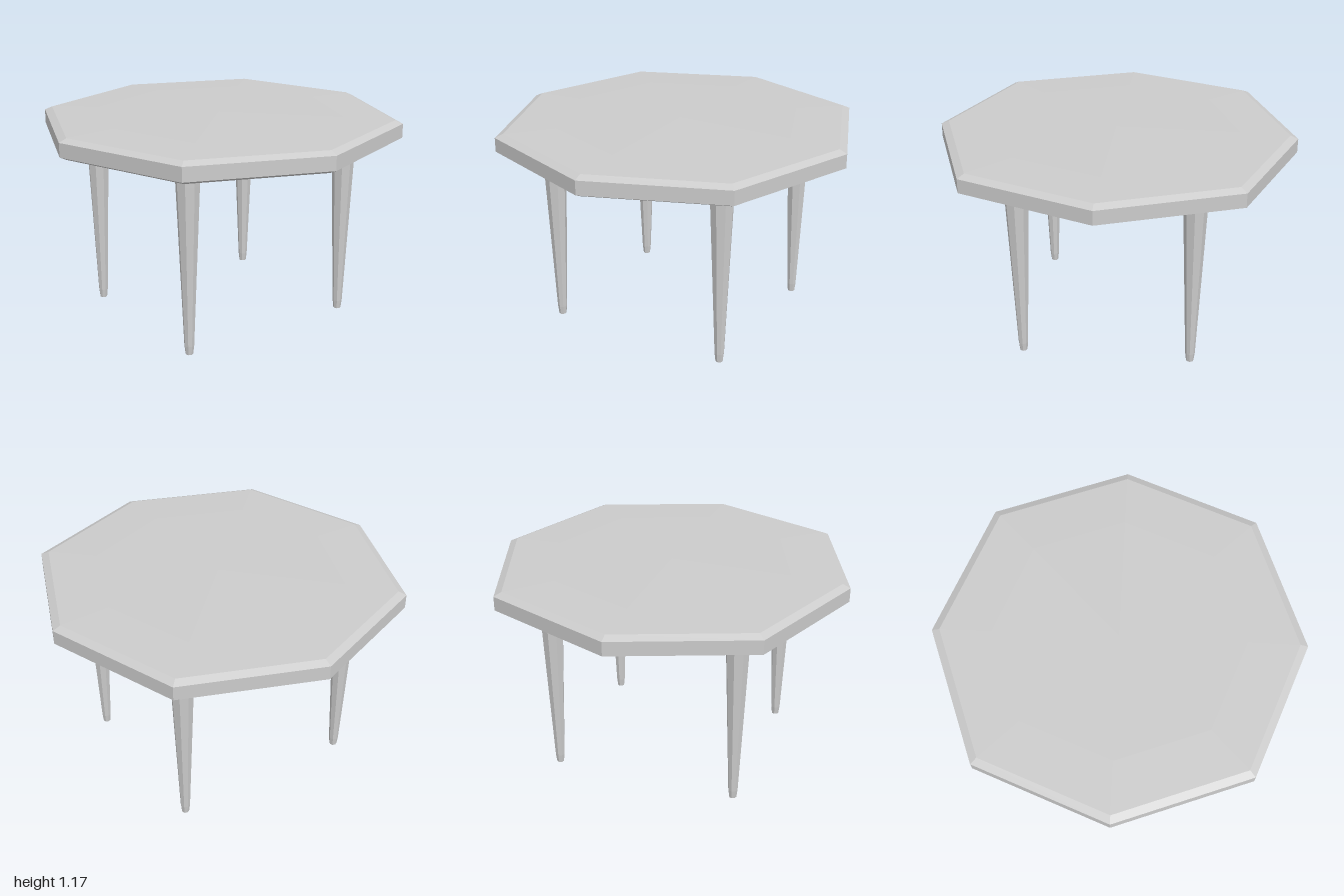
import * as THREE from 'three';

const material = new THREE.MeshStandardMaterial({ color: 0xcccccc, flatShading: true });

// Eight-sided solid turned from [radius, height] pairs, listed bottom to top
function turned(profile) {
  return new THREE.LatheGeometry(profile.map(([r, y]) => new THREE.Vector2(r, y)), 8);
}

export function createModel() {
  const table = new THREE.Group();
  table.name = 'table';

  // Bevelled octagonal top, very slightly domed on both faces
  const topGeometry = turned([
    [0, 1.03], [0.68, 1.033], [0.957, 1.04], [1, 1.06],
    [1, 1.138], [0.957, 1.157], [0.68, 1.165], [0, 1.168],
  ]);
  // Push the diagonal corners out a little
  const p = topGeometry.attributes.position;
  for (let i = 0; i < p.count; i++) {
    const x = p.getX(i), z = p.getZ(i);
    if (Math.abs(x * z) > 0.01) p.setXYZ(i, x * 1.025, p.getY(i), z * 1.025);
  }
  topGeometry.computeVertexNormals();
  const top = new THREE.Mesh(topGeometry, material);
  top.name = 'tableTop';
  table.add(top);

  // Four tapered legs
  const legGeometry = turned([
    [0, 0], [0.021, 0], [0.027, 0.05], [0.064, 0.95], [0.067, 1.05], [0, 1.05],
  ]);
  for (const [side, sx] of [['Left', 1], ['Right', -1]]) {
    for (const [end, sz] of [['front', 1], ['back', -1]]) {
      const leg = new THREE.Mesh(legGeometry, material);
      leg.name = `${end}${side}Leg`;
      leg.position.set(sx * 0.525, 0, sz * 0.47);
      table.add(leg);
    }
  }
  return table;
}
